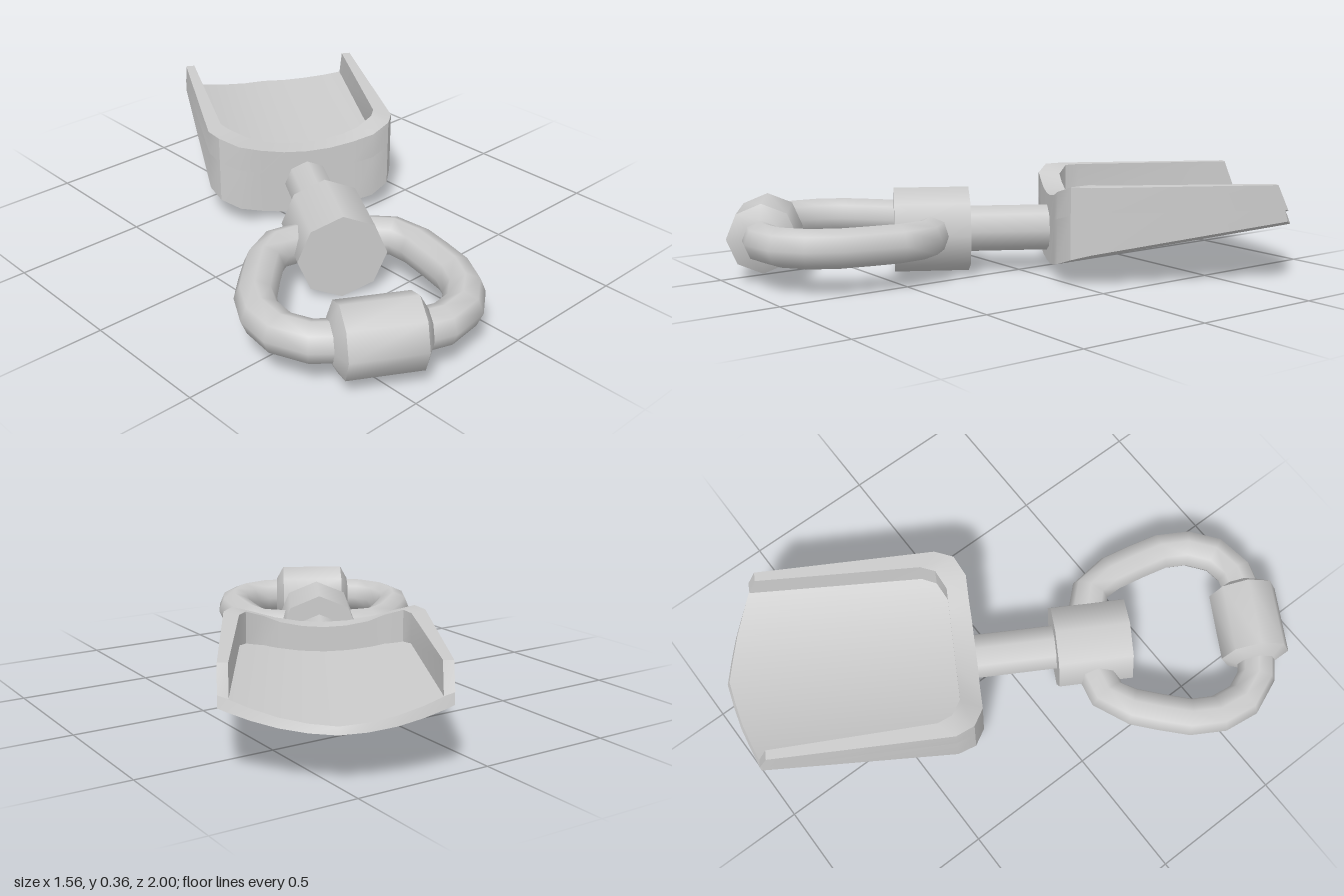
import * as THREE from 'three';
import { toCreasedNormals } from 'three/addons/utils/BufferGeometryUtils.js';

const AXIS_Y = 0.163; // height of the shaft, swivel and ring
const HALF = 0.365;   // half width of the scoop

const material = new THREE.MeshStandardMaterial({ color: 0xcccccc });

function part(name, geometry, y = 0, z = 0) {
  const mesh = new THREE.Mesh(geometry, material);
  mesh.name = name;
  mesh.position.set(0, y, z);
  return mesh;
}

// Move each vertex of a segmented box: rule(station, isTop, isRear) -> [x, y, z]
function mappedBox(segments, rule) {
  const g = new THREE.BoxGeometry(1, 1, 1, segments, 1, 1);
  const p = g.attributes.position;
  for (let i = 0; i < p.count; i++) {
    const station = Math.round((p.getX(i) + 0.5) * segments);
    p.setXYZ(i, ...rule(station, p.getY(i) > 0, p.getZ(i) > 0));
  }
  return toCreasedNormals(g, 0.6);
}

// Left half of a path followed by its mirror image; the last point is central
function mirrored(points) {
  return [...points, ...points.slice(0, -1).reverse().map(([u, ...rest]) => [-u, ...rest])];
}

// Dished cross-section shared by the floor, underside and rear rim
const dish = (u) => 0.07 * (u / HALF) ** 2;
const floorY = (u) => 0.203 + dish(u);
const underY = (u, v) => 0.035 + 0.152 * (v - 0.11) + dish(u);
const rimY = (u) => 0.295 + 0.07 * Math.min(1, Math.abs(u) / 0.335) ** 2;

// Scoop floor: u across, rear edge, front edge
function scoopFloor() {
  const cols = mirrored([
    [-HALF, 0.22, 0.94], [-0.335, 0.15, 0.953], [-0.265, 0.112, 0.982],
    [-0.18, 0.112, 1.014], [-0.09, 0.11, 1.038], [0, 0.11, 1.057],
  ]);
  return mappedBox(cols.length - 1, (i, top, rear) => {
    const [u, back, front] = cols[i];
    const v = rear ? back : front - (top ? 0.012 : 0);
    return [u, top ? floorY(u) : underY(u, v), -v];
  });
}

// U-shaped rim wall: outer u, v and inner u, v
function scoopWall() {
  const left = [
    [-HALF, 0.94, -0.33, 0.94], [-HALF, 0.22, -0.308, 0.28], [-0.335, 0.15, -0.285, 0.225],
    [-0.265, 0.112, -0.22, 0.19], [-0.18, 0.112, -0.16, 0.19], [-0.09, 0.11, -0.08, 0.19],
    [0, 0.11, 0, 0.19],
  ];
  const path = [...left, ...left.slice(0, -1).reverse().map(([a, b, c, d]) => [-a, b, -c, d])];
  const last = path.length - 1;
  return mappedBox(last, (i, top, outer) => {
    const [ou, ov, iu, iv] = path[i];
    const u = outer ? ou : iu;
    let v = outer ? ov : iv;
    if (top && (i === 0 || i === last)) v -= 0.04; // raked wall ends
    return [u, top ? rimY(ou) : floorY(u), -v];
  });
}

// Ring bar with both ends sunk in the swivel
function ringBar() {
  const pts = mirrored([
    [-0.11, 0.335], [-0.23, 0.378], [-0.305, 0.54], [-0.35, 0.715],
    [-0.322, 0.84], [-0.262, 0.918], [-0.15, 0.958], [0, 0.96],
  ]).map(([u, z]) => new THREE.Vector3(u, 0, z));
  return new THREE.TubeGeometry(new THREE.CatmullRomCurve3(pts), 18, 0.072, 8, false);
}

// Eight-sided collar with chamfered ends, lying across the ring
function collar() {
  const profile = [[0, -0.16], [0.075, -0.16], [0.13, -0.13], [0.13, 0.13], [0.075, 0.16], [0, 0.16]];
  const g = new THREE.LatheGeometry(profile.map(([r, y]) => new THREE.Vector2(r, y)), 8);
  return toCreasedNormals(g.rotateZ(Math.PI / 2), 0.85);
}

export function createModel() {
  const model = new THREE.Group();
  model.name = 'scoopCharm';

  const scoop = new THREE.Group();
  scoop.name = 'scoop';
  scoop.add(part('scoopFloor', scoopFloor()), part('scoopWall', scoopWall()));

  const bar = (r, length) => new THREE.CylinderGeometry(r, r, length, 8).rotateX(Math.PI / 2);
  const tool = new THREE.Group();
  tool.name = 'tool';
  tool.add(
    scoop,
    part('shaft', bar(0.088, 0.37), AXIS_Y, 0.035),
    part('swivel', bar(0.162, 0.282), AXIS_Y, 0.333),
    part('ringBar', ringBar(), AXIS_Y),
    part('ringCollar', collar(), AXIS_Y, 0.955),
  );

  // The whole tool lies turned on the ground
  tool.rotation.y = -Math.PI / 6;
  tool.position.set(-0.011, 0, -0.006);
  model.add(tool);
  return model;
}
